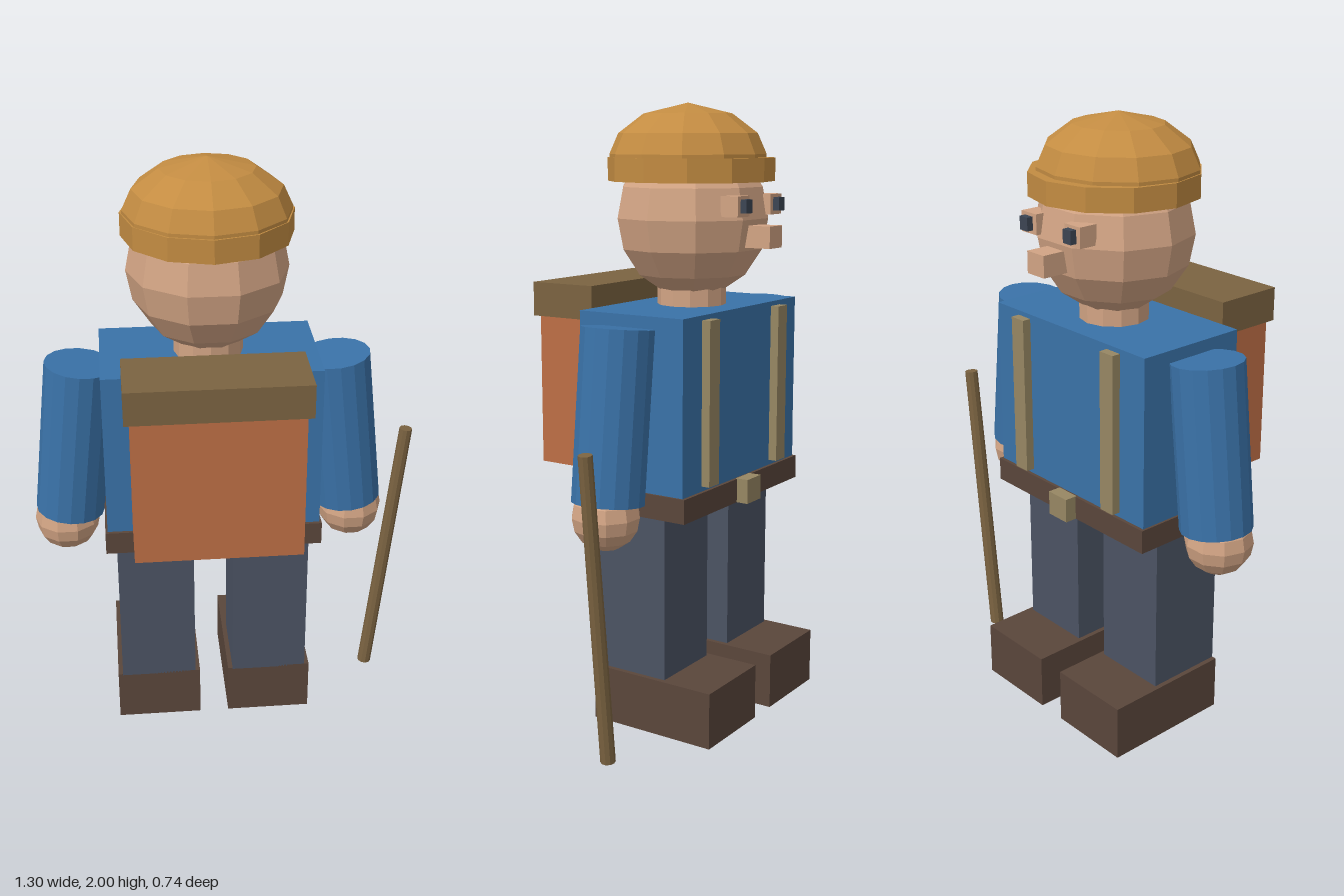
import * as THREE from 'three';

const mat = (name, color) => {
  const m = new THREE.MeshStandardMaterial({ color, flatShading: true });
  m.name = name;
  return m;
};

export function createModel() {
  const shirt = mat('blue shirt', 0x3a72a8);
  const skin = mat('skin', 0xd2a484);
  const ochre = mat('ochre cap', 0xc38c42);
  const rust = mat('rust pack', 0xbd6e45);
  const canvas = mat('brown canvas', 0x7b6341);
  const webbing = mat('tan webbing', 0x978763);
  const denim = mat('slate trousers', 0x4b5363);
  const leather = mat('dark leather', 0x5a463b);
  const dark = mat('dark eye', 0x3c4553);

  const model = new THREE.Group();
  model.name = 'hiker';

  // The figure is offset from the origin; the walking stick balances it
  const figure = new THREE.Group();
  figure.name = 'figure';
  figure.position.set(-0.061, 0, -0.06);
  model.add(figure);

  const add = (name, geometry, material, x, y, z, parent = figure) => {
    const mesh = new THREE.Mesh(geometry, material);
    mesh.name = name;
    mesh.position.set(x, y, z);
    parent.add(mesh);
    return mesh;
  };

  // Box between height y0..y1 and depth z0..z1, centred on x
  const box = (name, material, x, w, y0, y1, z0, z1) =>
    add(name, new THREE.BoxGeometry(w, y1 - y0, z1 - z0), material, x, (y0 + y1) / 2, (z0 + z1) / 2);

  // Trunk
  box('torso', shirt, 0, 0.7, 0.79, 1.36, -0.193, 0.193);
  box('belt', leather, 0, 0.715, 0.727, 0.805, -0.204, 0.204);
  box('buckle', webbing, 0, 0.085, 0.727, 0.807, -0.244, -0.2);

  // Backpack
  box('backpack', rust, 0, 0.534, 0.828, 1.32, 0.193, 0.417);
  box('backpackFlap', canvas, 0, 0.571, 1.32, 1.43, 0.195, 0.43);

  // Head
  add('neck', new THREE.CylinderGeometry(0.112, 0.112, 0.14, 12), skin, 0, 1.4, 0);
  add('head', new THREE.SphereGeometry(0.257, 10, 8), skin, 0, 1.64, 0).scale.z = 0.97;
  box('nose', skin, 0, 0.077, 1.553, 1.622, -0.31, -0.2);

  // Cap: domed crown set slightly back inside a wider band
  const crown = [[0.262, 1.77], [0.262, 1.84], [0.232, 1.905], [0.148, 1.966], [0, 2]]
    .map(([r, y]) => new THREE.Vector2(r, y));
  add('capCrown', new THREE.LatheGeometry(crown, 12), ochre, 0, 0, 0.017).scale.z = 0.95;
  add('capBand', new THREE.CylinderGeometry(0.269, 0.269, 0.074, 12), ochre, 0, 1.792, 0.004);

  for (const s of [-1, 1]) {
    const side = s > 0 ? 'left' : 'right';

    // Eyes
    box(side + 'EyeSocket', skin, s * 0.101, 0.07, 1.652, 1.716, -0.252, -0.19);
    box(side + 'Eye', dark, s * 0.101, 0.036, 1.664, 1.706, -0.273, -0.245);

    // Legs and boots
    box(side + 'Leg', denim, s * 0.194, 0.256, 0.18, 0.735, -0.107, 0.158);
    box(side + 'Boot', leather, s * 0.194, 0.288, 0, 0.185, -0.287, 0.158);

    // Shoulder straps down the chest
    box(side + 'Strap', webbing, s * 0.213, 0.058, 0.822, 1.345, -0.222, -0.188);

    // Sleeves splayed outward, with round hands
    add(side + 'Arm', new THREE.CylinderGeometry(0.115, 0.115, 0.538, 16), shirt, s * 0.443, 1.06, 0)
      .rotation.z = s * 0.108;
    add(side + 'Hand', new THREE.SphereGeometry(0.109, 10, 8), skin, s * 0.484, 0.755, 0);
  }

  // Walking stick
  add('walkingStick', new THREE.CylinderGeometry(0.022, 0.024, 0.995, 10), canvas, 0.576, 0.5, -0.136, model)
    .rotation.z = -0.098;

  return model;
}
